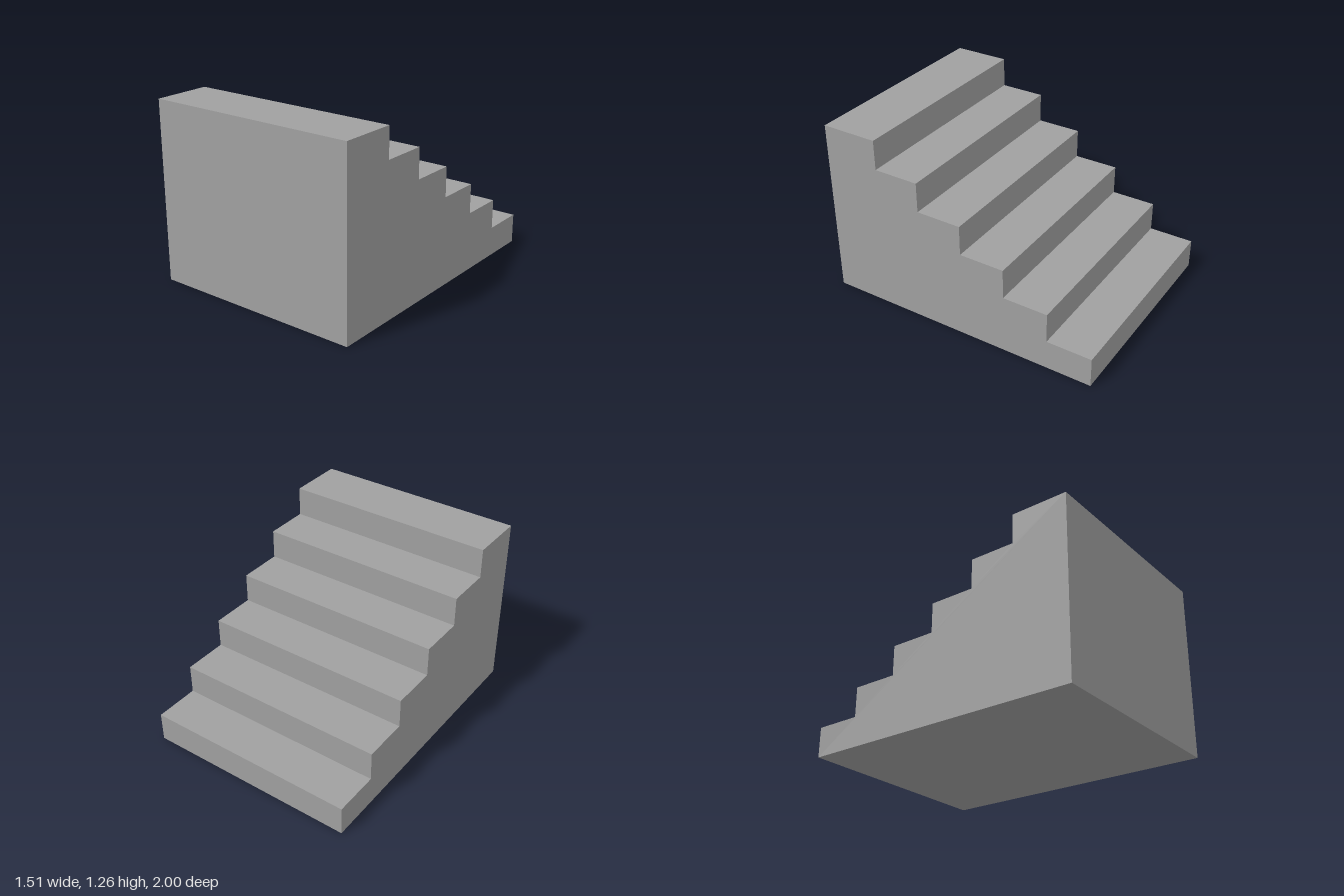
import * as THREE from 'three';

const STEPS = 6;
const RISE = 0.21;
const TREAD = 0.32;
const WIDTH = 1.51;

export function createModel() {
  const model = new THREE.Group();
  model.name = 'staircase';
  const stone = new THREE.MeshStandardMaterial({ color: 0xa0a0a0 });
  stone.name = 'grey stone';

  // Stepped side profile: climbs from the back (-1) to the tall front (+1)
  const profile = new THREE.Shape();
  profile.moveTo(-1, 0);
  for (let i = 0; i < STEPS; i++) {
    const y = (i + 1) * RISE;
    profile.lineTo(-1 + i * TREAD, y);
    profile.lineTo(i === STEPS - 1 ? 1 : -1 + (i + 1) * TREAD, y);
  }
  profile.lineTo(1, 0);
  profile.closePath();

  // Solid flight, extruded across the width and turned to run along z
  const geometry = new THREE.ExtrudeGeometry(profile, { depth: WIDTH, bevelEnabled: false });
  geometry.translate(0, 0, -WIDTH / 2);
  geometry.rotateY(-Math.PI / 2);

  const steps = new THREE.Mesh(geometry, stone);
  steps.name = 'steps';
  model.add(steps);
  return model;
}
